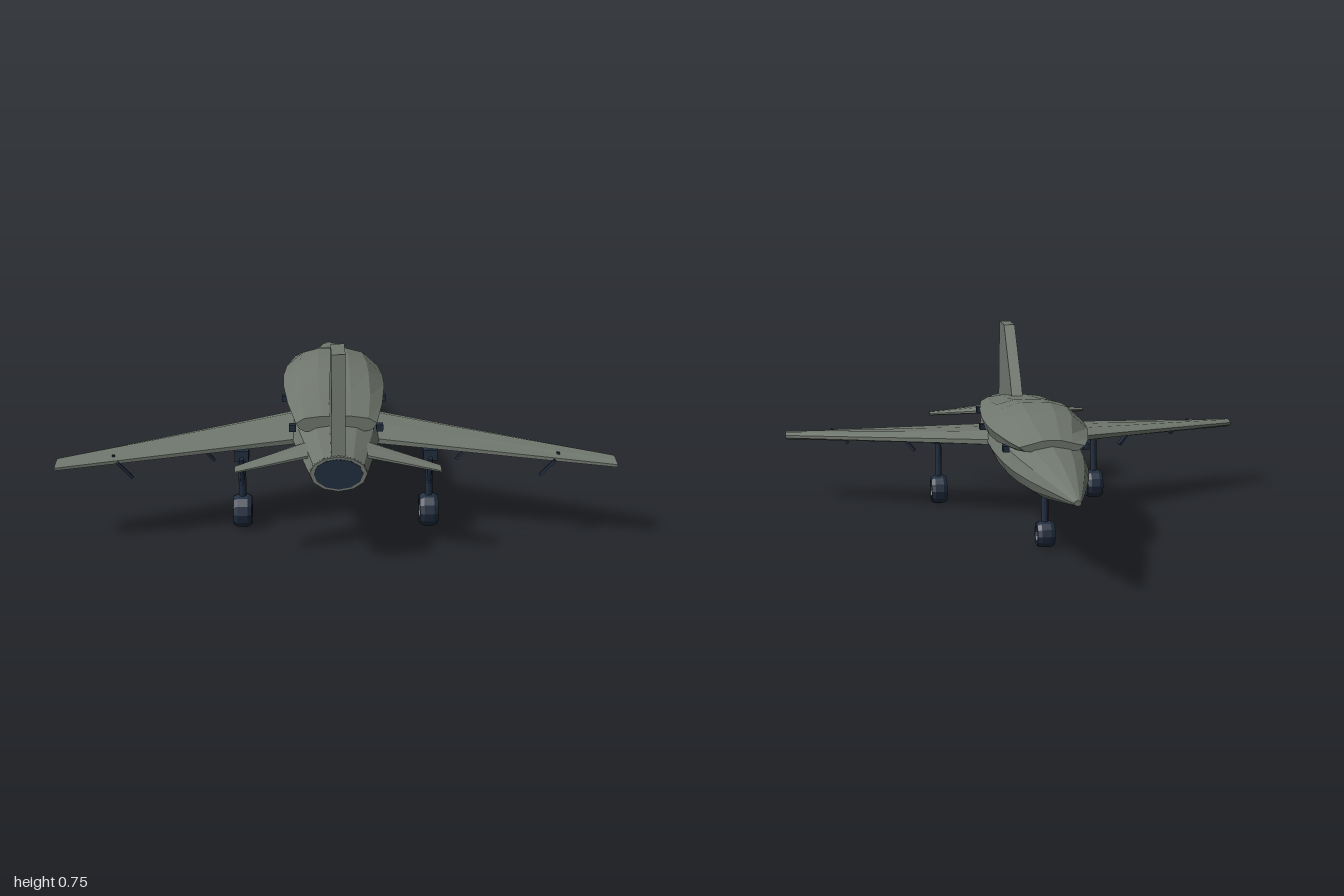
import * as THREE from 'three';

const grey = new THREE.MeshStandardMaterial({ color: 0x70776e });
grey.name = 'airframeGrey';
const navy = new THREE.MeshStandardMaterial({ color: 0x212d3f });
navy.name = 'darkNavy';

// Closed flat-faceted skin through equal-length convex rings of [x, y, z] points
function loft(rings) {
  const tris = [];
  const n = rings[0].length;
  for (let i = 0; i < rings.length - 1; i++) {
    for (let j = 0; j < n; j++) {
      const k = (j + 1) % n;
      const [a, b, c, d] = [rings[i][j], rings[i][k], rings[i + 1][k], rings[i + 1][j]];
      tris.push([a, b, c], [a, c, d]);
    }
  }
  const first = rings[0], last = rings[rings.length - 1];
  for (let j = 1; j < n - 1; j++) {
    tris.push([first[0], first[j + 1], first[j]], [last[0], last[j], last[j + 1]]);
  }
  // a negative volume means the faces point inward, so turn them round
  let volume = 0;
  for (const [a, b, c] of tris) {
    volume += new THREE.Vector3(...a).dot(new THREE.Vector3(...b).cross(new THREE.Vector3(...c)));
  }
  if (volume < 0) tris.forEach((t) => t.reverse());
  const geometry = new THREE.BufferGeometry();
  geometry.setAttribute('position', new THREE.Float32BufferAttribute(tris.flat(2), 3));
  geometry.computeVertexNormals();
  return geometry;
}

function add(parent, name, geometry, material) {
  const mesh = new THREE.Mesh(geometry, material);
  mesh.name = name;
  parent.add(mesh);
  return mesh;
}

// Round bar between two points
function bar(parent, name, from, to, radius, material = navy) {
  const a = new THREE.Vector3(...from), b = new THREE.Vector3(...to);
  const geometry = new THREE.CylinderGeometry(radius, radius, a.distanceTo(b), 8);
  const mesh = add(parent, name, geometry, material);
  mesh.position.copy(a).add(b).multiplyScalar(0.5);
  mesh.quaternion.setFromUnitVectors(new THREE.Vector3(0, 1, 0), b.sub(a).normalize());
}

function box(parent, name, size, position, material = navy) {
  const mesh = add(parent, name, new THREE.BoxGeometry(...size), material);
  mesh.position.set(...position);
  return mesh;
}

// Blunt-edged aerofoil section at span x
function foil(x, y, lead, trail, thick) {
  const at = (t) => lead + (trail - lead) * t;
  const h = thick / 2;
  return [
    [x, y - h * 0.35, at(0)], [x, y + h * 0.35, at(0)], [x, y + h, at(0.25)], [x, y + h * 0.8, at(0.6)],
    [x, y + h * 0.3, at(1)], [x, y - h * 0.3, at(1)], [x, y - h * 0.8, at(0.6)], [x, y - h, at(0.25)],
  ];
}

// Oval fuselage ring
function oval(z, halfWidth, bottom, top, mid) {
  const ring = [];
  for (let i = 0; i < 12; i++) {
    const a = (i / 12) * Math.PI * 2;
    const s = Math.sin(a);
    ring.push([Math.cos(a) * halfWidth, mid + s * (s > 0 ? top - mid : mid - bottom), z]);
  }
  return ring;
}

function landingGear(parent, name, x, z, radius, topZ, topY, braceZ) {
  const gear = new THREE.Group();
  gear.name = name;
  parent.add(gear);
  const r = radius;
  const profile = [[0, -0.026], [r * 0.55, -0.026], [r * 0.62, -0.034], [r * 0.86, -0.034], [r, -0.018],
    [r, 0.018], [r * 0.86, 0.034], [r * 0.62, 0.034], [r * 0.55, 0.026], [0, 0.026]];
  const tyre = new THREE.LatheGeometry(profile.map((p) => new THREE.Vector2(...p)), 12).toNonIndexed();
  tyre.computeVertexNormals();
  const wheel = add(gear, 'wheel', tyre, navy);
  wheel.rotation.z = Math.PI / 2;
  wheel.position.set(x, r, z);
  bar(gear, 'strut', [x, r, z], [x, topY, topZ], 0.014);
  bar(gear, 'brace', [x, r + 0.09, z + (topZ - z) * 0.5], [x, topY - 0.01, braceZ], 0.008);
}

export function createModel() {
  const model = new THREE.Group();
  model.name = 'jet';

  // Fuselage, nose at -z
  add(model, 'fuselage', loft([
    oval(-0.95, 0.013, 0.333, 0.353, 0.343),
    oval(-0.8, 0.055, 0.304, 0.385, 0.342),
    oval(-0.58, 0.11, 0.264, 0.42, 0.34),
    oval(-0.4, 0.143, 0.252, 0.434, 0.338),
    oval(-0.22, 0.162, 0.243, 0.436, 0.337),
    oval(0, 0.172, 0.24, 0.436, 0.337),
    oval(0.25, 0.17, 0.246, 0.434, 0.337),
    oval(0.55, 0.157, 0.262, 0.426, 0.342),
    oval(0.7, 0.135, 0.272, 0.42, 0.346),
    oval(0.94, 0.1, 0.285, 0.412, 0.35),
  ]), grey);

  // Exhaust plate and its slim rim
  add(model, 'exhaustRim', loft([oval(0.938, 0.1, 0.285, 0.412, 0.35), oval(0.946, 0.098, 0.287, 0.41, 0.35)]), grey);
  add(model, 'exhaust', loft([oval(0.943, 0.084, 0.295, 0.402, 0.35), oval(0.949, 0.084, 0.295, 0.402, 0.35)]), navy);

  // Raised upper body: z, half width, shoulder half width, bottom, waist, shoulder, top
  const upper = [
    [-0.425, 0.125, 0.07, 0.425, 0.432, 0.445, 0.455],
    [-0.34, 0.152, 0.09, 0.415, 0.438, 0.462, 0.474],
    [-0.15, 0.187, 0.122, 0.402, 0.443, 0.5, 0.518],
    [0, 0.198, 0.132, 0.398, 0.444, 0.505, 0.526],
    [0.15, 0.197, 0.135, 0.398, 0.443, 0.495, 0.514],
    [0.38, 0.178, 0.132, 0.402, 0.437, 0.468, 0.482],
    [0.62, 0.146, 0.115, 0.41, 0.43, 0.448, 0.456],
  ];
  add(model, 'upperBody', loft(upper.map(([z, w, s, bottom, waist, shoulder, top]) => [
    [w * 0.8, bottom - 0.01, z], [w * 0.92, bottom, z], [w, waist, z], [s, shoulder, z], [s * 0.45, top, z],
    [-s * 0.45, top, z], [-s, shoulder, z], [-w, waist, z], [-w * 0.92, bottom, z], [-w * 0.8, bottom - 0.01, z],
  ])), grey);

  // Tail fin, drawn in side outline and extruded across
  const outline = new THREE.Shape([[0.49, 0.44], [0.49, 0.46], [0.54, 0.53], [0.74, 0.752], [0.895, 0.752],
    [0.937, 0.41], [0.937, 0.38], [0.6, 0.38]].map((p) => new THREE.Vector2(...p)));
  const fin = add(model, 'tailFin', new THREE.ExtrudeGeometry(outline, { depth: 0.048, bevelEnabled: false }), grey);
  fin.rotation.y = -Math.PI / 2;
  fin.position.x = 0.024;

  for (const side of [1, -1]) {
    const label = side > 0 ? 'left' : 'right';

    // Swept, drooping wing and tailplane
    add(model, label + 'Wing', loft([
      foil(side * 0.1, 0.338, 0.137, 0.527, 0.062),
      foil(side * 0.36, 0.326, 0.277, 0.583, 0.05),
      foil(side * 1, 0.295, 0.62, 0.72, 0.032),
    ]), grey);
    add(model, label + 'Tailplane', loft([
      foil(side * 0.07, 0.378, 0.645, 0.827, 0.032),
      foil(side * 0.355, 0.338, 0.833, 0.893, 0.016),
    ]), grey);

    // Slanted blades under the wing
    for (const [x, z] of [[0.475, 0.48], [0.755, 0.68]]) {
      const y = x < 0.6 ? 0.275 : 0.278;
      const blade = box(model, label + 'WingBlade', [0.078, 0.01, 0.02], [side * x, y, z]);
      blade.rotation.set(0, -side * 0.3, side * 0.85);
    }
    box(model, label + 'WingPin', [0.01, 0.012, 0.01], [side * 0.8, 0.315, 0.635]);

    // Small ports along the flank
    for (const [x, z] of [[0.155, -0.28], [0.19, 0.18], [0.158, 0.57]]) {
      box(model, label + 'SidePort', [0.024, 0.024, 0.034], [side * x, 0.4, z]);
    }

    // Main gear
    landingGear(model, label + 'MainGear', side * 0.345, 0.515, 0.063, 0.527, 0.29, 0.57);
    box(model, label + 'GearMount', [0.052, 0.04, 0.07], [side * 0.345, 0.288, 0.53]);
  }

  // Nose gear
  landingGear(model, 'noseGear', 0, -0.262, 0.053, -0.247, 0.26, -0.205);

  return model;
}
